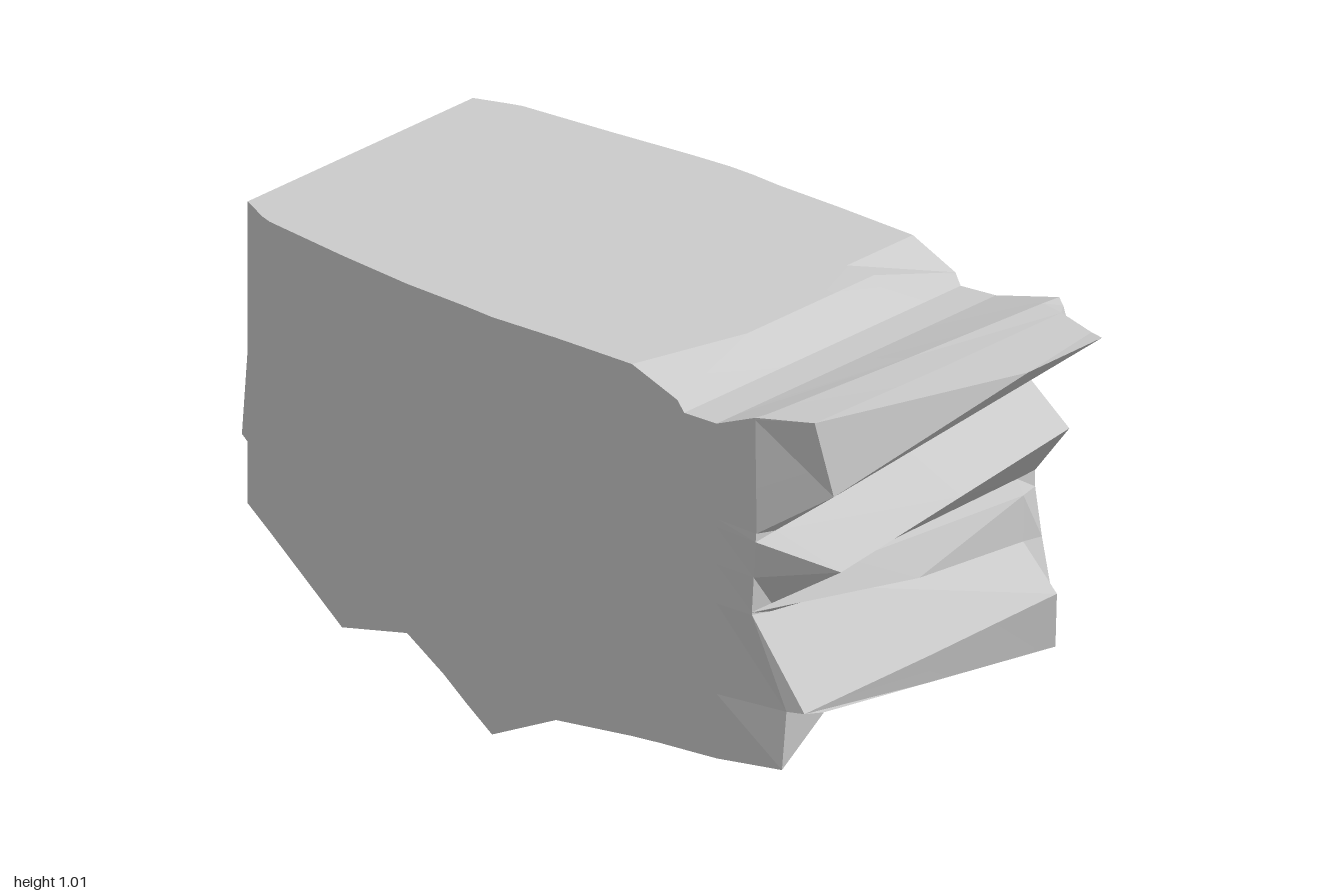
import * as THREE from 'three';
import { toCreasedNormals } from 'three/addons/utils/BufferGeometryUtils.js';

const material = new THREE.MeshStandardMaterial({ color: 0xcccccc, side: THREE.DoubleSide });
const { lerp, clamp } = THREE.MathUtils;
const between = (a, b, t) => a.map((v, i) => lerp(v, b[i], t));

// Skins a grid of points; closed joins the last column back to the first, cap fans over the first row.
function skin(name, rows, { closed = false, cap = false, crease = 0.35 } = {}) {
  const pos = [];
  const tri = (a, b, c) => pos.push(...a, ...b, ...c);
  const n = rows[0].length;
  for (let i = 0; i < rows.length - 1; i++) {
    for (let j = 0; j < (closed ? n : n - 1); j++) {
      const k = (j + 1) % n;
      const a = rows[i][j], b = rows[i + 1][j], c = rows[i + 1][k], d = rows[i][k];
      tri(a, b, c);
      tri(a, c, d);
    }
  }
  if (cap) for (let j = 1; j < n - 1; j++) tri(rows[0][0], rows[0][j], rows[0][j + 1]);
  const geo = new THREE.BufferGeometry();
  geo.setAttribute('position', new THREE.Float32BufferAttribute(pos, 3));
  const mesh = new THREE.Mesh(toCreasedNormals(geo, crease), material);
  mesh.name = name;
  return mesh;
}

export function createModel() {
  const group = new THREE.Group();
  group.name = 'jaggedRock';

  // Main block: x, front z, back z, edge top y, middle top y, front bottom y, back bottom y, edge shift in x
  const stations = [
    [-0.89, 0.37, -0.38, 1.01, 1.01, 0.28, 0.36],
    [-0.81, 0.41, -0.41, 1.01, 1.01, 0.27, 0.25],
    [-0.78, 0.42, -0.42, 1.01, 1.01, 0.26, 0.115],
    [-0.54, 0.45, -0.445, 1.01, 1.01, 0.11, 0.11],
    [-0.33, 0.47, -0.47, 1.01, 1.01, 0.165, 0.085],
    [-0.22, 0.473, -0.48, 1.01, 1.01, 0.10, 0.10],
    [-0.15, 0.475, -0.48, 1.01, 1.01, 0.05, 0.04],
    [-0.07, 0.48, -0.475, 1.01, 1.01, 0.0, 0.05],
    [0.11, 0.47, -0.475, 1.01, 1.01, 0.085, 0.08],
    [0.33, 0.465, -0.47, 1.01, 1.01, 0.11, 0.10],
    [0.41, 0.46, -0.465, 0.96, 1.01, 0.115, 0.105, 0.05],
    [0.48, 0.46, -0.46, 0.935, 0.935, 0.12, 0.11],
    [0.58, 0.465, -0.465, 0.94, 0.94, 0.13, 0.13],
  ];
  const loops = stations.map(([x, zf, zb, yt, ym, yf, yb, shift = 0]) => {
    // The underside is slightly hollow between its front and back edges
    const under = (z) => [x, Math.max(0.06, lerp(yf, yb, (zf - z) / (zf - zb))), z];
    return [
      [x + shift, yt, zf], [x, ym, 0.17], [x, ym, -0.25], [x + shift, yt, zb],
      [x, yb, zb], under(-0.26), under(0.26), [x, yf, zf],
    ];
  });
  group.add(skin('mainBlock', loops, { closed: true, cap: true }));

  // Slanted slab on the right end
  group.add(skin('endSlab', [
    [[-1, 0.87, -0.27], [-1, 0.38, -0.27], [-1, 0.38, 0.265], [-0.91, 0.87, 0.265]],
    [[-0.88, 0.9, -0.27], [-0.88, 0.38, -0.27], [-0.88, 0.38, 0.34], [-0.88, 0.98, 0.35]],
  ], { closed: true, cap: true, crease: 0.05 }));

  // Jagged left end: each row runs from the front wall to the back wall
  const nose = [0.86, 0.82, 0.39];
  const upperTip = [0.96, 0.975, -0.39];
  const footFront = [0.8, 0.27, 0.355];
  const footBack = [0.76, 0.145, -0.46];

  const crest = [[0.69, 0.985, 0.46], [0.7, 0.987, 0.43], [0.74, 0.993, 0], [0.775, 1, -0.4], [0.78, 1, -0.45]];
  const shelf = [[0.69, 0.98, 0.46], [0.83, 1, 0.42], [0.84, 1, 0], [0.84, 1, -0.39], [0.81, 0.995, -0.43]];
  const shelfRim = [[0.7, 0.74, 0.467], nose, [1, 1, -0.1], [0.96, 1, -0.355], [0.83, 0.97, -0.42]];
  const upperRidge = [[0.7, 0.71, 0.468], nose, between(nose, upperTip, 0.6), upperTip, [0.83, 0.95, -0.43]];
  const upperValley = [[0.7, 0.69, 0.47], [0.705, 0.7, 0.41], [0.71, 0.775, 0], [0.705, 0.845, -0.39], [0.7, 0.855, -0.44]];
  const middleRidge = [[0.69, 0.6, 0.465], [0.89, 0.65, 0.4], [0.89, 0.7, 0], [0.89, 0.745, -0.36], [0.7, 0.7, -0.45]];
  const middleValley = [[0.68, 0.512, 0.46], [0.685, 0.515, 0.4], [0.69, 0.535, 0.14], [0.7, 0.553, -0.4], [0.7, 0.555, -0.46]];
  const spike = [[0.68, 0.51, 0.46], [0.719, 0.518, 0.4], [0.89, 0.55, 0.14], [0.719, 0.519, -0.4], [0.7, 0.515, -0.46]];
  const lowerValley = [[0.68, 0.505, 0.46], [0.683, 0.495, 0.4], [0.695, 0.47, 0.14], [0.718, 0.407, -0.4], [0.72, 0.4, -0.46]];
  const lowerRidge = [[0.76, 0.286, 0.435], [0.8, 0.287, 0.42], [0.8, 0.29, 0], [0.8, 0.298, -0.42], [0.75, 0.29, -0.455]];
  const foot = [[0.76, 0.15, 0.45], footFront, between(footFront, footBack, 0.45), between(footFront, footBack, 0.9), footBack];
  // Straight rows where the jagged end meets the main block
  const seam = (y) => [0.465, 0.4, 0, -0.4, -0.465].map((z) => [0.58, y, z]);
  const rows = [seam(0.94), crest, shelf, shelfRim, upperRidge, upperValley, middleRidge, middleValley,
    spike, lowerValley, lowerRidge, foot, seam(0.13)];
  // Front and back walls run from the seam to the ends of each row
  const grid = rows.map((row) => {
    const seamY = (p) => clamp(p[1], 0.13, 0.94);
    return [[0.58, seamY(row[0]), 0.465], ...row, [0.58, seamY(row[4]), -0.465]];
  });
  group.add(skin('jaggedEnd', grid, { crease: 0.05 }));

  return group;
}
